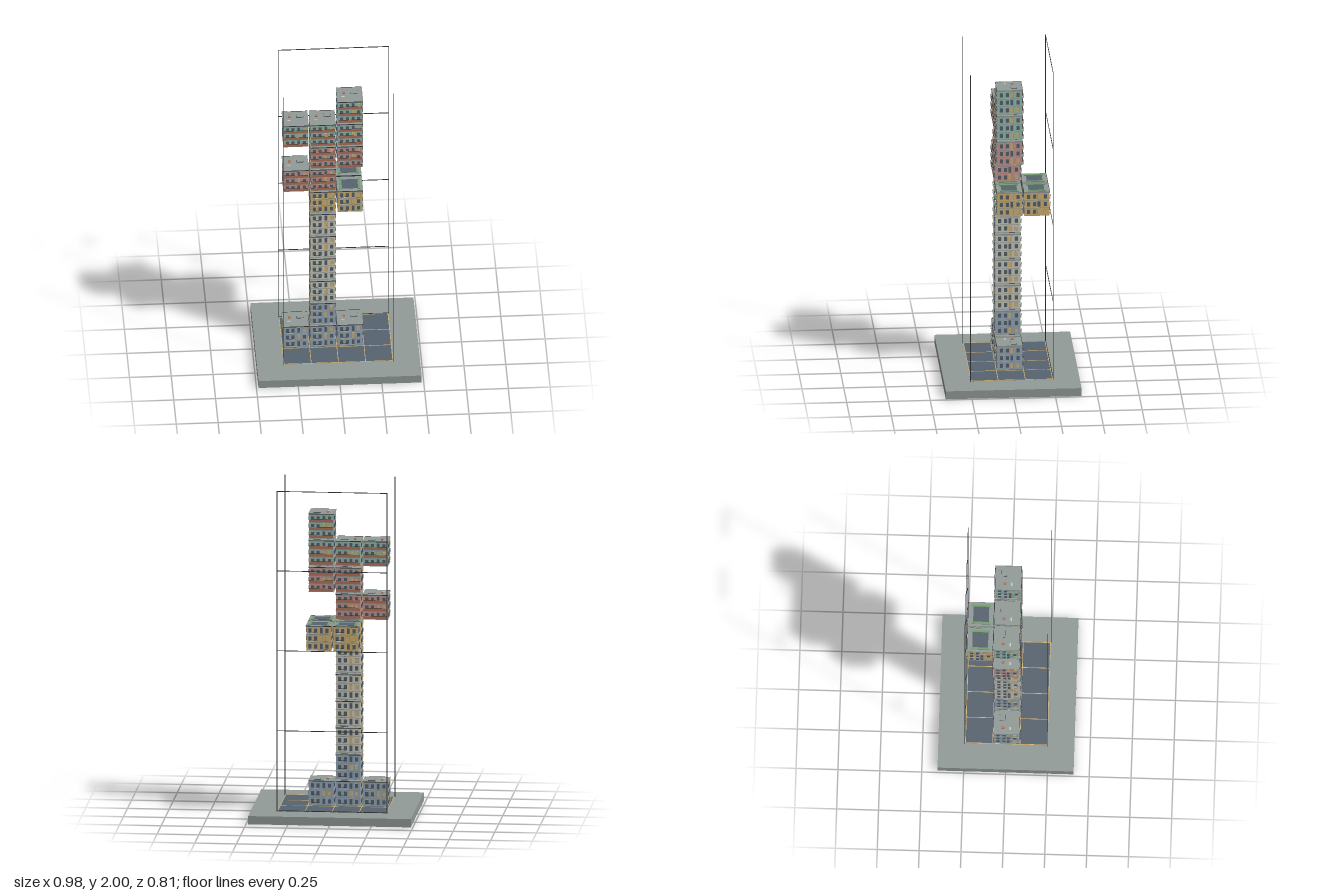
import * as THREE from 'three';

const CELL = 0.1625, W = 0.147, H = 0.15, FLOOR = 0.048, GROUND = 0.055;

const mat = (name, color) => {
  const m = new THREE.MeshStandardMaterial({ color });
  m.name = name;
  return m;
};

export function createModel() {
  const M = {
    concrete: mat('concrete', 0x929b98),
    slate: mat('slate glass', 0x56636f),
    dark: mat('dark metal', 0x33373a),
    ochre: mat('ochre', 0xd8b470),
    blue: mat('blue wall', 0x98abbd),
    cream: mat('cream wall', 0xd1cebd),
    pink: mat('pink wall', 0xca9993),
    teal: mat('teal wall', 0x93c2b3),
    brick: mat('brick', 0xb4735b),
    green: mat('planting', 0x749e70),
  };
  const unit = new THREE.BoxGeometry(1, 1, 1);

  // Box given by its centre and size
  const box = (parent, name, m, x, y, z, w, h, d) => {
    const b = new THREE.Mesh(unit, m);
    b.name = name;
    b.position.set(x, y, z);
    b.scale.set(w, h, d);
    parent.add(b);
  };

  const model = new THREE.Group();
  model.name = 'stackedHousing';

  // Plinth with a 4 x 3 grid of paved plots
  box(model, 'plinth', M.concrete, 0, 0.025, 0, 0.975, 0.05, 0.812);
  box(model, 'plots', M.slate, 0, 0.051, 0, 4 * CELL, 0.003, 3 * CELL);
  for (let i = -2; i <= 2; i++)
    box(model, 'plotLine', M.ochre, i * CELL, 0.0525, 0, 0.004, 0.003, 3 * CELL);
  for (let j = -1.5; j <= 1.5; j++)
    box(model, 'plotLine', M.ochre, 0, 0.0525, j * CELL, 4 * CELL, 0.003, 0.004);

  // Slender frame: four posts and rails across the back
  for (const sx of [-1, 1]) for (const sz of [-1, 1])
    box(model, 'post', M.dark, sx * 0.33, 1.025, sz * 0.248, 0.004, 1.95, 0.004);
  for (const y of [0.054, 0.541, 1.028, 1.514, 1.998])
    box(model, 'rail', M.dark, 0, y, -0.248, 0.66, 0.004, 0.003);

  // One side of a module: windows, surrounds, railings or balconies per storey
  function facade(parent, style, side, seed) {
    const f = new THREE.Group();
    f.name = 'facade';
    f.rotation.y = side * Math.PI / 2;
    const front = side % 2 === 0;
    const banded = style === 'pink' || style === 'teal';
    const z = W / 2;
    const columns = front ? [-0.052, -0.018, 0.016, 0.05] : [-0.05, -0.014, 0.012, 0.05];
    for (let s = 0; s < 3; s++) {
      const y = s * FLOOR + 0.027;
      columns.forEach((x, c) => {
        const lit = c >= 2 && (seed * 5 + side * 3 + s * 7 + c * 4) % 5 < 2;
        const w = c === 2 ? 0.015 : 0.018, h = c === 2 ? 0.033 : 0.025;
        box(f, 'windowSurround', M.concrete, x, y, z, w + 0.003, h + 0.003, 0.003);
        box(f, 'window', lit ? M.ochre : M.slate, x, y, z + 0.001, w, h, 0.004);
      });
      if (front && banded) {
        // Full-width balcony with a solid parapet
        box(f, 'balconyFloor', M.concrete, 0, s * FLOOR + 0.005, z + 0.004, 0.144, 0.003, 0.01);
        box(f, 'balconyFront', M.brick, 0, s * FLOOR + 0.014, z + 0.008, 0.144, 0.016, 0.002);
        box(f, 'balconyRail', M.dark, 0, s * FLOOR + 0.0235, z + 0.008, 0.144, 0.0015, 0.002);
      } else if (front) {
        // Small railed balcony with a planter and a wall unit
        box(f, 'balconyFloor', M.concrete, -0.035, s * FLOOR + 0.006, z + 0.005, 0.042, 0.003, 0.01);
        box(f, 'balconyRail', M.dark, -0.035, s * FLOOR + 0.018, z + 0.009, 0.042, 0.002, 0.002);
        if (style === 'ochre') {
          box(f, 'planter', M.green, 0.042, s * FLOOR + 0.01, z + 0.005, 0.022, 0.006, 0.008);
          box(f, 'wallUnit', M.cream, -0.04, s * FLOOR + 0.01, z + 0.006, 0.018, 0.008, 0.008);
        }
      }
    }
    parent.add(f);
  }

  // Rooftop with hatch, chimney and vent
  function plainRoof(g) {
    box(g, 'roofHatchEdge', M.dark, 0.028, H, -0.027, 0.042, 0.006, 0.035);
    box(g, 'roofHatch', M.concrete, 0.028, H + 0.001, -0.027, 0.04, 0.007, 0.033);
    box(g, 'chimney', M.brick, -0.035, H + 0.002, -0.02, 0.014, 0.01, 0.018);
    box(g, 'roofVent', M.cream, -0.041, H + 0.001, 0.022, 0.02, 0.007, 0.009);
  }

  // Rooftop with a paved court between two planting beds
  function gardenRoof(g) {
    box(g, 'roofCourt', M.slate, 0, H, 0, 0.096, 0.003, 0.094);
    for (const s of [-1, 1])
      box(g, 'plantingBed', M.green, s * 0.055, H + 0.002, 0, 0.014, 0.008, 0.112);
  }

  // One three-storey housing module
  function housing(parent, style, col, level, row, seed) {
    const g = new THREE.Group();
    g.name = 'housingModule';
    g.position.set((col - 1.5) * CELL, GROUND + level * CELL, row * CELL);
    box(g, 'walls', M[style], 0, H / 2, 0, W, H - 0.002, W);
    for (let s = 0; s < 3; s++)
      box(g, 'floorSlab', M.concrete, 0, s * FLOOR + 0.002, 0, W + 0.004, 0.003, W + 0.004);
    box(g, 'roofSlab', M.concrete, 0, H - 0.002, 0, 0.153, 0.005, 0.155);
    for (const s of [-1, 1]) {
      box(g, 'roofEdge', M.dark, 0, H, s * 0.0775, 0.153, 0.004, 0.002);
      box(g, 'parapet', M.concrete, s * 0.0755, H + 0.001, 0, 0.003, 0.006, 0.153);
    }
    for (let side = 0; side < 4; side++) facade(g, style, side, seed);
    (style === 'ochre' ? gardenRoof : plainRoof)(g);
    parent.add(g);
  }

  // Clusters of four modules: [column, level, row]
  const clusters = {
    blue: [[0, 0, 0], [1, 0, 0], [2, 0, 0], [1, 1, 0]],
    cream: [[1, 2, 0], [1, 3, 0], [1, 4, 0], [1, 5, 0]],
    ochre: [[1, 6, 0], [2, 6, 0], [1, 6, -1], [2, 6, -1]],
    pink: [[0, 7, 0], [1, 7, 0], [1, 8, 0], [2, 8, 0]],
    teal: [[0, 9, 0], [1, 9, 0], [2, 9, 0], [2, 10, 0]],
  };
  let seed = 1;
  for (const [style, cells] of Object.entries(clusters)) {
    const g = new THREE.Group();
    g.name = style + 'Cluster';
    for (const [c, l, r] of cells) housing(g, style, c, l, r, seed++);
    model.add(g);
  }
  return model;
}
